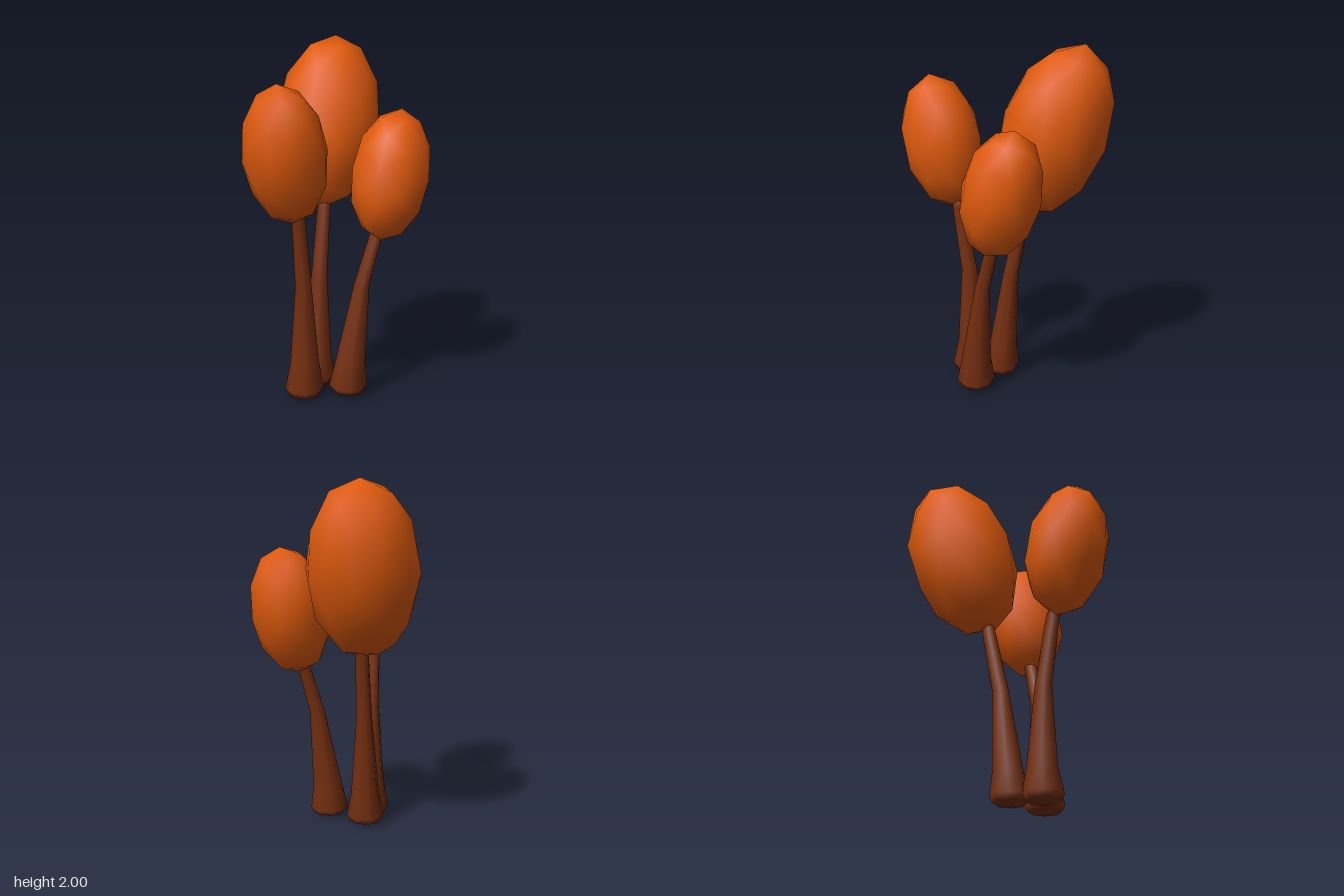
import * as THREE from 'three';

const bark = new THREE.MeshStandardMaterial({ color: 0x752f10 });
bark.name = 'brown bark';
const foliage = new THREE.MeshStandardMaterial({ color: 0xe05a0c });
foliage.name = 'orange foliage';

const SIDES = 8;

// Smooth lofted trunk: each ring is [x, y, z, radius], closed by a point at each end
function trunkGeometry(rings) {
  const pos = [], index = [];
  for (const [x, y, z, r] of rings) {
    for (let i = 0; i < SIDES; i++) {
      const a = ((i + 0.5) / SIDES) * Math.PI * 2;
      pos.push(x + r * 1.04 * Math.sin(a), y, z + r * 1.04 * Math.cos(a));
    }
  }
  for (let k = 0; k < rings.length - 1; k++) {
    for (let i = 0; i < SIDES; i++) {
      const j = (i + 1) % SIDES;
      const a = k * SIDES + i, b = k * SIDES + j;
      index.push(a, b, b + SIDES, a, b + SIDES, a + SIDES);
    }
  }
  // End caps
  const first = rings[0], last = rings[rings.length - 1];
  const top = (rings.length - 1) * SIDES, n = rings.length * SIDES;
  pos.push(first[0], first[1] - 0.012, first[2], last[0], last[1] + 0.012, last[2]);
  for (let i = 0; i < SIDES; i++) {
    const j = (i + 1) % SIDES;
    index.push(n, j, i, n + 1, top + i, top + j);
  }
  const g = new THREE.BufferGeometry();
  g.setAttribute('position', new THREE.Float32BufferAttribute(pos, 3));
  g.setIndex(index);
  g.computeVertexNormals();
  return g;
}

// Egg-shaped crown from a coarse sphere, stretched then tilted
function crownGeometry(radii) {
  return new THREE.IcosahedronGeometry(1, 1).scale(...radii);
}

const trees = [
  {
    name: 'backTree',
    trunk: [
      [-0.15, 0.025, 0.015, 0.085], [-0.15, 0.06, 0.015, 0.105], [-0.15, 0.2, 0.0, 0.078],
      [-0.15, 0.65, -0.045, 0.044], [-0.15, 1.04, -0.125, 0.036], [-0.15, 1.1, -0.14, 0.025],
    ],
    centre: [-0.18, 1.515, -0.285], radii: [0.308, 0.512, 0.302], tilt: [-0.32, 0.02],
  },
  {
    name: 'frontTree',
    trunk: [
      [-0.15, 0.014, 0.2, 0.085], [-0.15, 0.05, 0.2, 0.105], [-0.15, 0.2, 0.195, 0.078],
      [-0.15, 0.65, 0.207, 0.044], [-0.15, 1.04, 0.268, 0.036], [-0.15, 1.085, 0.275, 0.025],
    ],
    centre: [-0.182, 1.415, 0.372], radii: [0.23, 0.39, 0.23], tilt: [0.2, 0.03],
  },
  {
    name: 'leftTree',
    trunk: [
      [0.085, 0.03, 0.105, 0.085], [0.08, 0.06, 0.105, 0.105], [0.09, 0.2, 0.1, 0.082],
      [0.14, 0.65, 0.05, 0.042], [0.2, 0.93, -0.025, 0.035], [0.212, 0.98, -0.04, 0.025],
    ],
    centre: [0.26, 1.258, -0.092], radii: [0.222, 0.372, 0.222], tilt: [-0.22, -0.1],
  },
];

export function createModel() {
  const model = new THREE.Group();
  model.name = 'treeCluster';
  for (const t of trees) {
    const tree = new THREE.Group();
    tree.name = t.name;

    const trunk = new THREE.Mesh(trunkGeometry(t.trunk), bark);
    trunk.name = 'trunk';

    const crown = new THREE.Mesh(crownGeometry(t.radii), foliage);
    crown.name = 'crown';
    crown.position.set(...t.centre);
    crown.rotation.set(t.tilt[0], 0, t.tilt[1]);

    tree.add(trunk, crown);
    model.add(tree);
  }
  return model;
}
